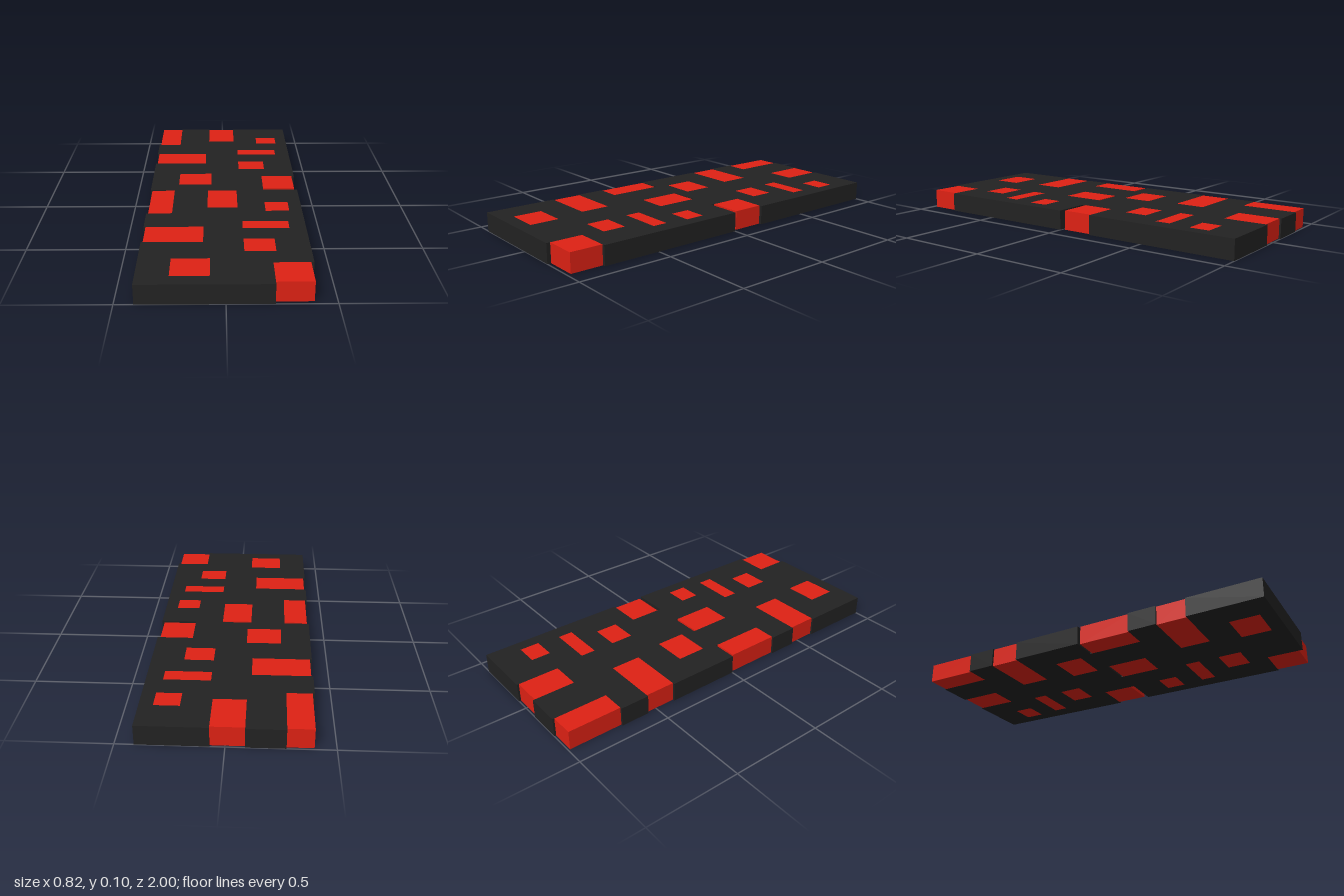
import * as THREE from 'three';

const HEIGHT = 0.102;
const HALF_WIDTH = 0.41;

// Tiles as [x0, x1, d0, d1], with d measured from the back edge of a slab
const EDGE_TILES = [
  [-0.4, -0.275, 0.01, 0.295],   // back corner
  [-0.09, 0.07, 0.01, 0.23],     // back edge
  [-0.4, -0.107, 0.45, 0.61],    // right edge
  [0.22, 0.395, 0.81, 0.98],     // front corner
];
const INNER_TILES = [
  [0.217, 0.342, 0.165, 0.27],
  [0.09, 0.325, 0.388, 0.467],
  [0.09, 0.242, 0.58, 0.703],
  [-0.255, -0.072, 0.77, 0.927],
];

function points(list) {
  return list.map(([x, d]) => new THREE.Vector2(x, -d));
}

// Slab with open notches at its rim and closed holes for the inner tiles
function slabGeometry() {
  const [corner, back, side, front] = EDGE_TILES;
  const w = HALF_WIDTH;
  const shape = new THREE.Shape(points([
    [-w, corner[3]], [-w, side[2]], [side[1], side[2]], [side[1], side[3]], [-w, side[3]],
    [-w, 1], [front[0], 1], [front[0], front[2]], [w, front[2]], [w, 0],
    [back[1], 0], [back[1], back[3]], [back[0], back[3]], [back[0], 0],
    [corner[1], 0], [corner[1], corner[3]],
  ]));
  for (const [x0, x1, d0, d1] of INNER_TILES) {
    shape.holes.push(new THREE.Path(points([[x0, d0], [x1, d0], [x1, d1], [x0, d1]])));
  }
  return new THREE.ExtrudeGeometry(shape, { depth: HEIGHT, bevelEnabled: false }).rotateX(-Math.PI / 2);
}

export function createModel() {
  const model = new THREE.Group();
  model.name = 'tiledPlank';
  const black = new THREE.MeshStandardMaterial({ color: 0x222222 });
  const red = new THREE.MeshStandardMaterial({ color: 0xde2114 });
  const slabGeo = slabGeometry();

  // Two identical panels end to end
  ['backPanel', 'frontPanel'].forEach((name, i) => {
    const panel = new THREE.Group();
    panel.name = name;
    panel.position.z = i - 1;

    const slab = new THREE.Mesh(slabGeo, black);
    slab.name = 'slab';
    panel.add(slab);

    // Inlaid tiles, flush with the slab above and below
    [...EDGE_TILES, ...INNER_TILES].forEach(([x0, x1, d0, d1], n) => {
      const tile = new THREE.Mesh(new THREE.BoxGeometry(x1 - x0, HEIGHT, d1 - d0), red);
      tile.name = `inlayTile${n + 1}`;
      tile.position.set((x0 + x1) / 2, HEIGHT / 2, (d0 + d1) / 2);
      panel.add(tile);
    });
    model.add(panel);
  });
  return model;
}
